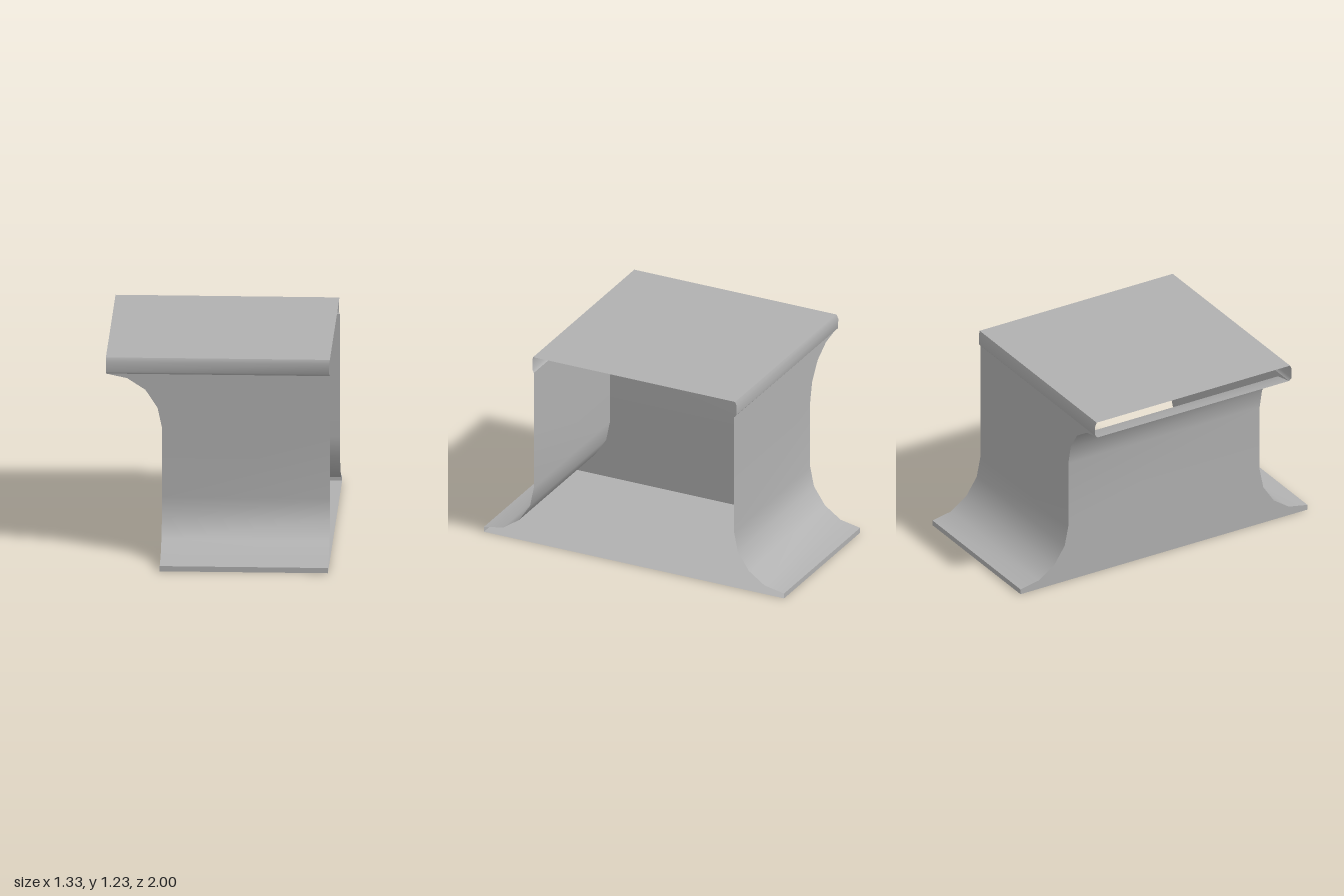
import * as THREE from 'three';

const RIGHT = 0.667;

// Sheet through rows of points, smooth within itself
function sheet(name, rows, material) {
  const n = rows[0].length, index = [];
  for (let r = 0; r < rows.length - 1; r++) {
    for (let c = 0; c < n - 1; c++) {
      const a = r * n + c, d = a + n;
      index.push(a, a + 1, d + 1, a, d + 1, d);
    }
  }
  const geometry = new THREE.BufferGeometry();
  geometry.setAttribute('position', new THREE.Float32BufferAttribute(rows.flat(2), 3));
  geometry.setIndex(index);
  geometry.computeVertexNormals();
  const mesh = new THREE.Mesh(geometry, material);
  mesh.name = name;
  return mesh;
}

// Front, back and left walls from levels of [y, left edge x, half depth z]
function walls(suffix, levels, material) {
  return [
    sheet('front' + suffix, levels.map(([y, x, z]) => [[x, y, z], [RIGHT, y, z]]), material),
    sheet('back' + suffix, levels.map(([y, x, z]) => [[RIGHT, y, -z], [x, y, -z]]), material),
    sheet('left' + suffix, levels.map(([y, x, z]) => [[x, y, -z], [x, y, z]]), material),
  ];
}

export function createModel() {
  const group = new THREE.Group();
  group.name = 'openShell';
  const grey = new THREE.MeshStandardMaterial({ color: 0xb0b0b0, side: THREE.DoubleSide });
  grey.name = 'grey';

  // Base plate with its low rim, open on the right
  group.add(sheet('floor', [
    [[-0.333, 0, -1], [RIGHT, 0, -1]],
    [[-0.333, 0, 1], [RIGHT, 0, 1]],
  ], grey));
  group.add(...walls('Rim', [[0, -0.333, 1], [0.032, -0.333, 1]], grey));

  // Walls flare out to the base in depth and to the top on the left
  group.add(...walls('Wall', [
    [0.032, -0.333, 1], [0.057, -0.333, 0.87], [0.13, -0.333, 0.765],
    [0.24, -0.333, 0.692], [0.365, -0.333, 0.667], [0.79, -0.333, 0.667],
    [0.915, -0.36, 0.667], [1.025, -0.432, 0.667], [1.096, -0.541, 0.667],
    [1.123, -0.667, 0.667],
  ], grey));

  // Slightly bulging bands under the top, open at both ends: [y, z, bulge, right end]
  const band = [
    [1.123, 0.667, 0, 0.667], [1.138, 0.679, 0.005, 0.661],
    [1.2, 0.68, 0.005, 0.661], [1.225, 0.673, 0.001, 0.665],
  ];
  for (const s of [1, -1]) {
    const rows = band.map(([y, z, bulge, end]) => {
      const row = [[-0.667, y, s * (z + bulge)], [end, y, s * z]];
      return s > 0 ? row : row.reverse();
    });
    group.add(sheet(s > 0 ? 'frontBand' : 'backBand', rows, grey));
  }

  // Flat top
  group.add(sheet('top', [
    [[-0.667, 1.225, 0.674], [0.665, 1.225, 0.673]],
    [[-0.667, 1.225, -0.674], [0.665, 1.225, -0.673]],
  ], grey));

  return group;
}
